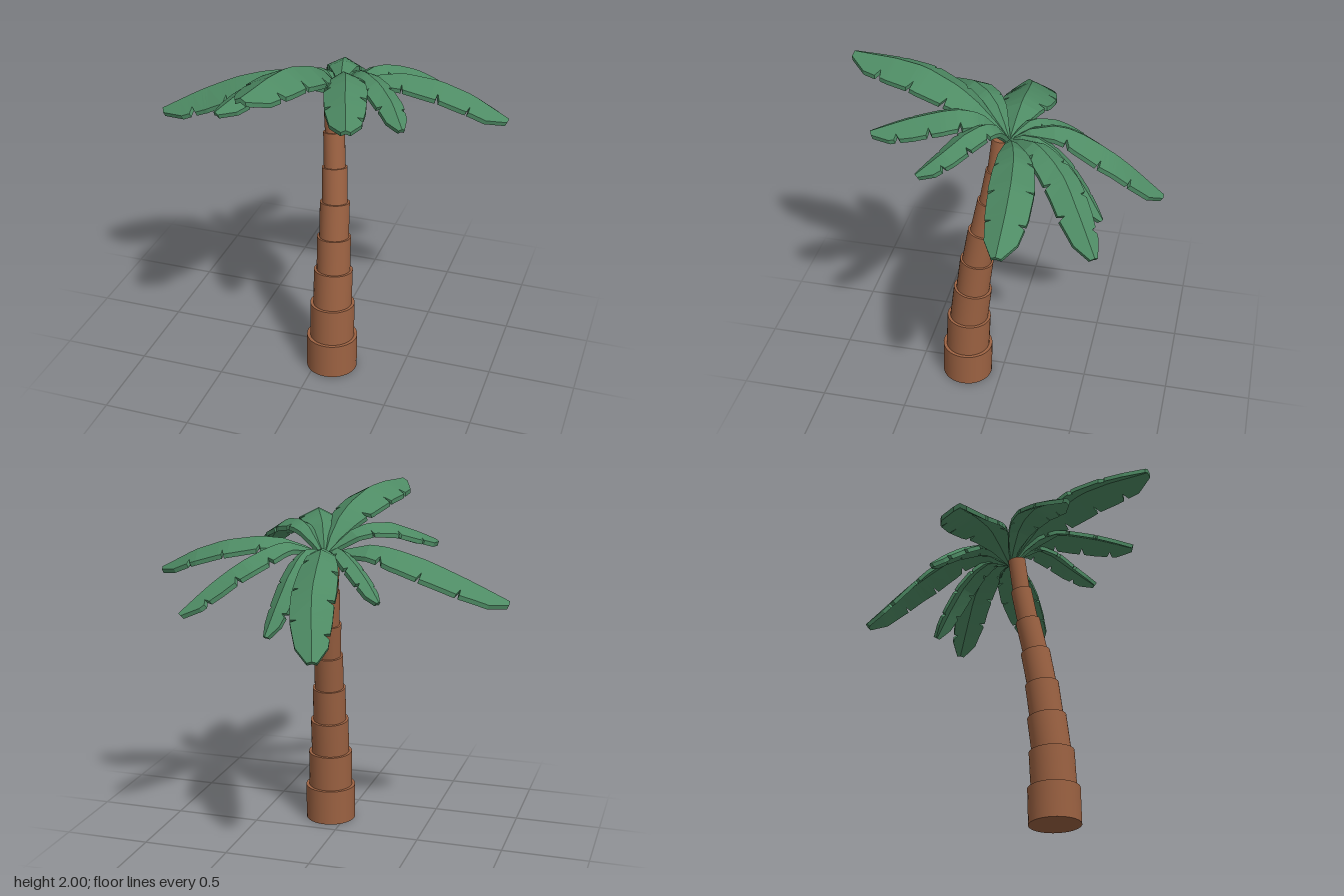
import * as THREE from 'three';

const V = (x, y, z) => new THREE.Vector3(x, y, z);
const barkMaterial = new THREE.MeshStandardMaterial({ color: 0x9c6242 });
const leafMaterial = new THREE.MeshStandardMaterial({ color: 0x4e8b64, flatShading: true });

// Leaning trunk: centre line and radius of each stacked ring
const trunkLine = [
  [0.092, 0, 0.209], [0.092, 0.21, 0.205], [0.09, 0.42, 0.195], [0.087, 0.63, 0.17], [0.082, 0.835, 0.145],
  [0.075, 1.04, 0.11], [0.06, 1.24, 0.07], [0.045, 1.44, 0.035], [0.028, 1.64, 0.013],
];
const ringRadii = [0.148, 0.129, 0.112, 0.097, 0.085, 0.072, 0.061, 0.051];

// Fronds: half width, then midrib points from crown to tip
const crown = [0.05, 1.66, -0.04];
const fronds = [
  ['leftFrond', 0.12, [0.22, 1.75, -0.09], [0.42, 1.77, -0.14], [0.7, 1.71, -0.17], [0.98, 1.57, -0.17]],
  ['rightFrond', 0.155, [-0.2, 1.74, -0.05], [-0.45, 1.7, -0.045], [-0.72, 1.59, -0.01], [-0.985, 1.45, 0.06]],
  ['frontFrond', 0.145, [0.03, 1.82, 0.1], [-0.02, 1.93, 0.28], [-0.08, 1.99, 0.5], [-0.16, 1.985, 0.88]],
  ['frontLeftFrond', 0.115, [0.1, 1.82, 0.08], [0.16, 1.88, 0.2], [0.23, 1.85, 0.42], [0.31, 1.78, 0.66]],
  ['sideLeftFrond', 0.08, [0.17, 1.82, 0.02], [0.28, 1.84, 0.11], [0.41, 1.78, 0.22], [0.52, 1.68, 0.36]],
  ['frontRightFrond', 0.1, [-0.08, 1.8, 0.06], [-0.22, 1.83, 0.19], [-0.36, 1.77, 0.33], [-0.47, 1.69, 0.49]],
  ['backFrond', 0.12, [0.02, 1.74, -0.18], [-0.02, 1.73, -0.34], [-0.06, 1.58, -0.6], [-0.15, 1.29, -0.88]],
  ['backShortFrond', 0.07, [0.09, 1.73, -0.16], [0.13, 1.66, -0.33], [0.17, 1.5, -0.47], [0.21, 1.32, -0.59]],
  ['backLeftFrond', 0.1, [0.2, 1.76, -0.2], [0.37, 1.7, -0.38], [0.53, 1.58, -0.5], [0.69, 1.42, -0.62]],
  ['backRightFrond', 0.06, [-0.05, 1.73, -0.13], [-0.16, 1.69, -0.23], [-0.27, 1.6, -0.31], [-0.36, 1.5, -0.38]],
];

// Relative half width along the frond
const outline = [[0, 0.06], [0.12, 0.33], [0.25, 0.65], [0.4, 0.9], [0.55, 1], [0.75, 0.93], [0.9, 0.72], [1, 0.22]];
function widthAt(t) {
  const i = Math.max(1, outline.findIndex(([s]) => s >= t));
  const [t0, w0] = outline[i - 1], [t1, w1] = outline[i];
  return THREE.MathUtils.mapLinear(t, t0, t1, w0, w1);
}

// Thick roof-shaped leaf with torn notches along both edges
function frondGeometry(halfWidth, points, shift) {
  const curve = new THREE.CatmullRomCurve3(points.map(p => V(...p)));
  const notches = [[0.4, 0.61, 0.82], [0.34, 0.56, 0.76]].map((side, s) => side.map(t => t + (s ? -shift : shift)));
  const stations = [...outline.map(([t]) => t), ...notches.flat().flatMap(t => [t - 0.012, t, t + 0.022])].sort((a, b) => a - b);
  const positions = [], index = [], thickness = 0.025;

  for (const t of stations) {
    const centre = curve.getPointAt(t), tangent = curve.getTangentAt(t);
    const side = V(0, 1, 0).cross(tangent).normalize();
    const normal = tangent.clone().cross(side);
    const edge = s => {
      // a notch pulls the edge in toward the midrib
      const w = halfWidth * widthAt(t) * (notches[s].includes(t) ? 0.66 : 1);
      return centre.clone().addScaledVector(side, s ? -w : w).addScaledVector(normal, -0.5 * w);
    };
    const top = [edge(0), centre, edge(1)];
    const bottom = top.map(p => p.clone().addScaledVector(normal, -thickness)).reverse();
    for (const p of [...top, ...bottom]) positions.push(p.x, p.y, p.z);
  }

  for (let i = 0; i < stations.length - 1; i++) {
    for (let k = 0; k < 6; k++) {
      const a = i * 6 + k, b = i * 6 + (k + 1) % 6;
      index.push(a, b, b + 6, a, b + 6, a + 6);
    }
  }
  const cap = [0, 1, 4, 0, 4, 5, 1, 2, 3, 1, 3, 4], last = (stations.length - 1) * 6;
  index.push(...cap.map(k => k + last), ...cap.slice().reverse());

  const indexed = new THREE.BufferGeometry();
  indexed.setAttribute('position', new THREE.Float32BufferAttribute(positions, 3));
  indexed.setIndex(index);
  const geometry = indexed.toNonIndexed();
  geometry.computeVertexNormals();
  return geometry;
}

export function createModel() {
  const model = new THREE.Group();
  model.name = 'palmTree';

  const trunk = new THREE.Group();
  trunk.name = 'trunk';
  ringRadii.forEach((r, i) => {
    const from = V(...trunkLine[i]), to = V(...trunkLine[i + 1]);
    const axis = to.clone().sub(from);
    const ring = new THREE.Mesh(new THREE.CylinderGeometry(r, r, axis.length() + (i ? 0.01 : 0), 32), barkMaterial);
    ring.name = `trunkRing${i + 1}`;
    ring.position.copy(from).add(to).multiplyScalar(0.5);
    ring.quaternion.setFromUnitVectors(V(0, 1, 0), axis.normalize());
    trunk.add(ring);
  });
  model.add(trunk);

  const leaves = new THREE.Group();
  leaves.name = 'fronds';
  fronds.forEach(([name, halfWidth, ...path], i) => {
    const shift = ((i * 3) % 5 - 2) * 0.013;
    const frond = new THREE.Mesh(frondGeometry(halfWidth, [crown, ...path], shift), leafMaterial);
    frond.name = name;
    leaves.add(frond);
  });
  model.add(leaves);
  return model;
}
